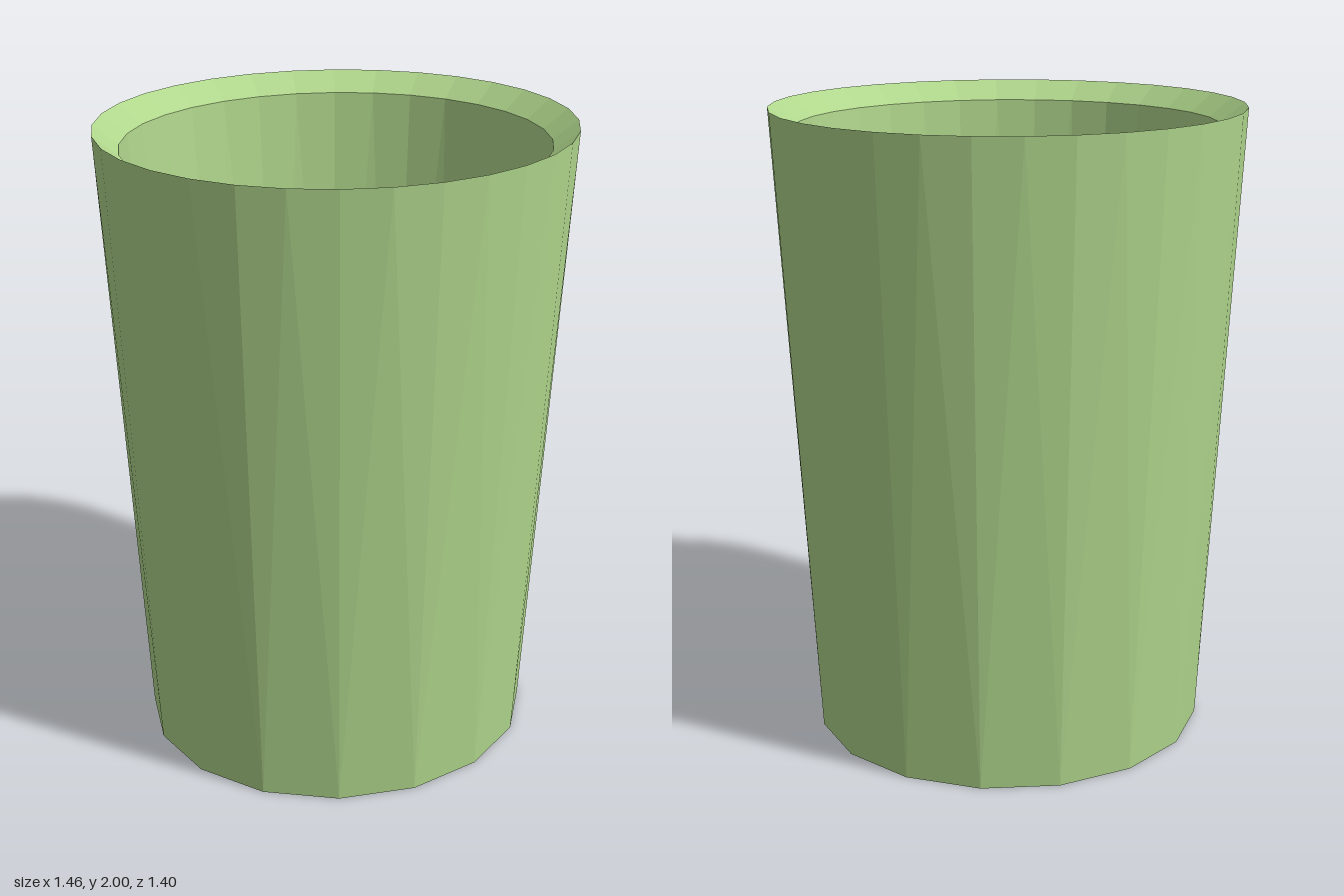
import * as THREE from 'three';

// Oval ring of points, counter-clockwise seen from above, starting on the front axis
function ring(n, rx, rz, y) {
  return Array.from({ length: n }, (_, i) => {
    const a = (i / n) * Math.PI * 2;
    return new THREE.Vector3(Math.sin(a) * rx, y, Math.cos(a) * rz);
  });
}

// Triangles of a strip from ring a (lower when facing outward) to ring b.
// b has either as many points as a, or twice as many.
function band(a, b) {
  const tris = [];
  const n = a.length, m = b.length;
  for (let i = 0; i < n; i++) {
    const a0 = a[i], a1 = a[(i + 1) % n];
    if (m === n) {
      const b0 = b[i], b1 = b[(i + 1) % m];
      tris.push(a0, a1, b1, a0, b1, b0);
    } else {
      const b0 = b[2 * i], b1 = b[2 * i + 1], b2 = b[(2 * i + 2) % m];
      tris.push(a0, a1, b1, a0, b1, b0, a1, b2, b1);
    }
  }
  return tris;
}

// Flat cap facing up
function cap(r) {
  const c = new THREE.Vector3(0, r[0].y, 0);
  return r.flatMap((p, i) => [c, p, r[(i + 1) % r.length]]);
}

// Reverse the facing of a triangle list
function flip(tris) {
  const out = [];
  for (let i = 0; i < tris.length; i += 3) out.push(tris[i], tris[i + 2], tris[i + 1]);
  return out;
}

export function createModel() {
  const group = new THREE.Group();
  group.name = 'cup';
  const material = new THREE.MeshStandardMaterial({ color: 0xb0d68c, flatShading: true });

  const base = ring(16, 0.628, 0.6, 0);
  const lip = ring(32, 0.732, 0.7, 2);
  const mouth = ring(32, 0.655, 0.625, 1.94);
  const well = ring(16, 0.515, 0.49, 0.1);

  const parts = {
    outerWall: band(base, lip),
    bevelledRim: band(lip, mouth),
    innerWall: flip(band(well, mouth)),
    innerFloor: cap(well),
    underside: flip(cap(base)),
  };

  for (const [name, tris] of Object.entries(parts)) {
    const geometry = new THREE.BufferGeometry().setFromPoints(tris);
    geometry.computeVertexNormals();
    const mesh = new THREE.Mesh(geometry, material);
    mesh.name = name;
    group.add(mesh);
  }
  return group;
}
